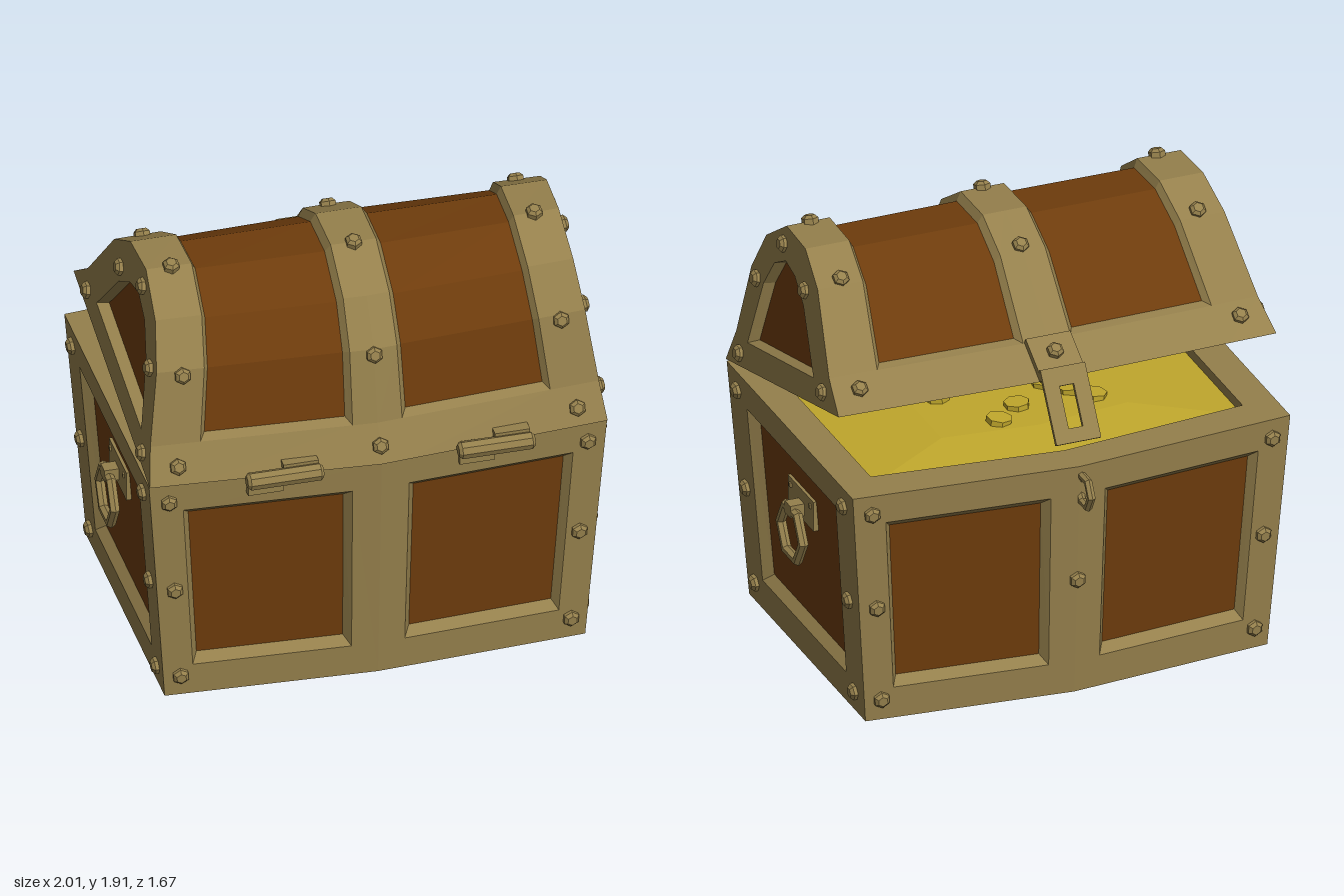
import * as THREE from 'three';

const material = (color) => new THREE.MeshStandardMaterial({ color, flatShading: true });
const V = (x, y, z) => new THREE.Vector3(x, y, z);
const lerp = THREE.MathUtils.lerp;

// Collects quads and fans; loops run counter-clockwise seen from outside
class Shell {
  constructor() { this.p = []; }
  tri(a, b, c) { for (const v of [a, b, c]) this.p.push(v.x, v.y, v.z); }
  quad(a, b, c, d) { this.tri(a, b, c); this.tri(a, c, d); }
  strip(outer, inner) {
    const n = outer.length;
    for (let i = 0; i < n; i++) {
      const j = (i + 1) % n;
      this.quad(outer[i], outer[j], inner[j], inner[i]);
    }
  }
  cap(loop) {
    const c = loop.reduce((s, v) => s.add(v), V(0, 0, 0)).divideScalar(loop.length);
    loop.forEach((v, i) => this.tri(c, v, loop[(i + 1) % loop.length]));
  }
  grid(f, us, vs, flip = false) {
    for (let i = 0; i + 1 < us.length; i++) for (let j = 0; j + 1 < vs.length; j++) {
      const q = [f(us[i], vs[j]), f(us[i + 1], vs[j]), f(us[i + 1], vs[j + 1]), f(us[i], vs[j + 1])];
      if (flip) q.reverse();
      this.quad(...q);
    }
  }
  mesh(name, mat) {
    const g = new THREE.BufferGeometry();
    g.setAttribute('position', new THREE.Float32BufferAttribute(this.p, 3));
    g.computeVertexNormals();
    const m = new THREE.Mesh(g, mat);
    m.name = name;
    return m;
  }
}

// Body surface: s across the width, f = 1 front or -1 back, t from floor to rim
const H = 1.075;
function bodyPoint(s, f, t) {
  const corner = f > 0 ? 0.67 + 0.05 * t : -0.575 - 0.055 * t;
  const middle = f > 0 ? 0.72 + 0.06 * t : -0.66 - 0.06 * t;
  return V(s * (0.9 + 0.08 * t), t * H, lerp(middle, corner, Math.abs(s)));
}

// Lid end outline as [z, y], already swung open
const profile = [[0.73, 1.08], [0.665, 1.24], [0.605, 1.56], [0.5, 1.75], [0.31, 1.88],
  [0.09, 1.88], [-0.09, 1.78], [-0.33, 1.49], [-0.48, 1.385]];
const endX = (z, y) => 0.98 - 0.14 * (y - 1.08 - (0.73 - z) * 0.256);
function lidPoint(s, i, k = 1) {
  const a = Math.min(Math.floor(i), 7), w = i - a;
  const z = lerp(0.12, lerp(profile[a][0], profile[a + 1][0], w), k);
  const y = lerp(1.236, lerp(profile[a][1], profile[a + 1][1], w), k);
  const bulge = 0.055 * (1 - Math.abs(s)) * THREE.MathUtils.clamp((z - 0.12) / 0.6, -1, 1);
  return V(s * endX(z, y), y - 0.25 * bulge, z + bulge);
}

export function createModel() {
  const chest = new THREE.Group();
  chest.name = 'chest';
  const trim = material(0x95804c), wood = material(0x6e3c0c), gold = material(0xc0a72c);
  const add = (geo, name, mat, x = 0, y = 0, z = 0, parent = chest) => {
    const m = new THREE.Mesh(geo, mat);
    m.name = name;
    m.position.set(x, y, z);
    parent.add(m);
    return m;
  };

  // Body frame with bevelled, sunken wooden panels
  const frame = new Shell(), boards = new Shell();
  const wall = (f, [u0, u1], [h0, h1], [t0, t1], inset, sink, flip) => {
    const loop = (a, b, c, d) => [f(a, c), f(b, c), f(b, d), f(a, d)];
    const loops = [loop(u0, u1, 0, 1), loop(h0, h1, t0, t1),
      loop(h0 + inset, h1 - inset, t0 + 0.036, t1 - 0.033).map((v) => v.add(sink))];
    if (flip) loops.forEach((l) => l.reverse());
    frame.strip(loops[0], loops[1]);
    frame.strip(loops[1], loops[2]);
    boards.cap(loops[2]);
  };
  for (const f of [1, -1]) {
    const face = (s, t) => bodyPoint(s, f, t);
    wall(face, [0, 1], [0.125, 0.86], [0.135, 0.875], 0.03, V(0, 0, -0.04 * f), f < 0);
    wall(face, [-1, 0], [-0.86, -0.125], [0.135, 0.875], 0.03, V(0, 0, -0.04 * f), f < 0);
    const side = (u, t) => bodyPoint(f, 1, t).lerp(bodyPoint(f, -1, t), u);
    wall(side, [0, 1], [0.14, 0.85], [0.135, 0.875], 0.03, V(-0.04 * f, 0, 0), f < 0);
  }

  // Rim, inner walls and sunken floor underside
  const ringOrder = [[-1, 1], [0, 1], [1, 1], [1, -1], [0, -1], [-1, -1]];
  const plan = (t, kx, dz, y) => ringOrder.map(([s, f]) => {
    const v = bodyPoint(s, f, t);
    return V(v.x * kx, y, v.z - f * dz);
  });
  const mouth = plan(1, 0.85, 0.16, H), goldEdge = plan(1, 0.85, 0.16, 1.03);
  frame.strip(plan(1, 1, 0, H), mouth);
  frame.strip(mouth, goldEdge);
  const under = [plan(0, 1, 0, 0), plan(0, 0.84, 0.12, 0), plan(0, 0.81, 0.145, 0.04)].map((l) => l.reverse());
  frame.strip(under[0], under[1]);
  frame.strip(under[1], under[2]);
  frame.cap(under[2]);
  chest.add(frame.mesh('bodyFrame', trim), boards.mesh('bodyPanels', wood));

  // Gold heap and loose coins
  const heap = new Shell();
  const mid = goldEdge.map((v) => V(v.x * 0.5, 1.06, v.z * 0.5));
  heap.strip(goldEdge, mid);
  heap.cap(mid);
  chest.add(heap.mesh('goldHeap', gold));
  const coins = [[-0.31, -0.13], [-0.16, 0.05], [0.02, -0.09], [0.14, -0.19], [-0.24, -0.04], [0.3, 0.1], [-0.42, 0.15]];
  coins.forEach(([x, z], i) => {
    const c = add(new THREE.CylinderGeometry(0.055, 0.055, 0.025, 7), 'coin', gold, x, 1.07, z);
    c.rotation.set(0.12 * Math.sin(i * 2), i, 0.12 * Math.cos(i * 3));
  });

  // Lid bands, rims and sunken curved panels
  const lid = new THREE.Group();
  lid.name = 'lid';
  chest.add(lid);
  const bands = new Shell(), lidBoards = new Shell();
  const rows = [1, 2, 3, 4, 5, 6, 7], allRows = [0, ...rows, 8];
  const E = 0.78, C = 0.11;
  for (const r of [[0, 1], [7, 8]]) bands.grid(lidPoint, [-1, -E, -C, 0, C, E, 1], r);
  for (const s of [[-1, -E], [-C, 0, C], [E, 1]]) bands.grid(lidPoint, s, rows);
  for (const [a, b] of [[-E, -C], [C, E]]) {
    const sunkRows = [1.08, 2, 3, 4, 5, 6, 6.92];
    const sunk = (s, i) => lidPoint(s, i, 0.945);
    const loop = (f, l, r, is) => [...is.map((i) => f(r, i)), ...[...is].reverse().map((i) => f(l, i))];
    bands.strip(loop(lidPoint, a, b, rows), loop(sunk, a + 0.025, b - 0.025, sunkRows));
    lidBoards.grid(sunk, [a + 0.025, b - 0.025], sunkRows);
  }

  // Arched lid ends
  const hole = [[0.535, 1.245], [0.52, 1.31], [0.46, 1.55], [0.38, 1.68], [0.27, 1.74],
    [0.16, 1.725], [0.03, 1.65], [-0.14, 1.455], [-0.175, 1.42]];
  for (const s of [1, -1]) {
    const cut = hole.map(([z, y]) => V(s * endX(z, y), y, z));
    const deep = cut.map((v) => V(v.x - s * 0.05, lerp(1.48, v.y, 0.96), lerp(0.22, v.z, 0.96)));
    const loops = [allRows.map((i) => lidPoint(s, i)), cut, deep];
    if (s > 0) loops.forEach((l) => l.reverse());
    bands.strip(loops[0], loops[1]);
    bands.strip(loops[1], loops[2]);
    lidBoards.cap(loops[2]);
    const inner = allRows.map((i) => lidPoint(s * 0.85, i, 0.85));
    lidBoards.cap(s > 0 ? inner : inner.reverse());
  }

  // Lid underside rim and hollow interior
  const lidRing = (ks, k) => ringOrder.map(([s, f]) => lidPoint(s * ks, f > 0 ? 0 : 8, k)).reverse();
  bands.strip(lidRing(1, 1), lidRing(0.85, 0.85));
  lidBoards.grid((s, i) => lidPoint(s, i, 0.85), [-0.85, 0, 0.85], allRows, true);
  lid.add(bands.mesh('lidBands', trim), lidBoards.mesh('lidPanels', wood));

  // Six-sided rivets
  const rivetGeo = new THREE.LatheGeometry([[0.036, -0.01], [0.036, 0.015], [0.022, 0.028], [0, 0.028]]
    .map(([x, y]) => new THREE.Vector2(x, y)), 6);
  const rivet = (p, n) => add(rivetGeo, 'rivet', trim, p.x, p.y, p.z)
    .quaternion.setFromUnitVectors(V(0, 1, 0), n.normalize());
  for (const t of [0.09, 0.5, 0.92]) for (const s of [1, -1]) {
    for (const f of [1, -1]) rivet(bodyPoint(s * 0.92, f, t), V(0.07 * s, -0.05, f));
    for (const u of [0.075, 0.92]) rivet(bodyPoint(s, 1, t).lerp(bodyPoint(s, -1, t), u), V(s, -0.08, 0));
  }
  rivet(bodyPoint(0, -1, 0.5), V(0, -0.05, -1));
  for (const s of [-0.88, 0, 0.88]) for (const i of [0.45, 1.93, 4, 5.85, 7.4]) {
    const d = lidPoint(s, i + 0.3).sub(lidPoint(s, i - 0.3));
    const n = V(0, -d.z, d.y).normalize(), p = lidPoint(s, i);
    if (s === 0 && i > 7) p.addScaledVector(n, 0.03);
    rivet(p, n);
  }
  for (const s of [1, -1])
    for (const [z, y] of [[0.595, 1.17], [0.53, 1.54], [0.31, 1.8], [0.03, 1.72], [-0.29, 1.41]])
      rivet(V(s * endX(z, y), y, z), V(s, 0.14, 0));

  // Hinge barrels with their leaves
  const barrel = new THREE.LatheGeometry([[0, -0.163], [0.026, -0.163], [0.038, -0.15], [0.038, 0.15], [0.026, 0.163], [0, 0.163]]
    .map(([x, y]) => new THREE.Vector2(x, y)), 8);
  for (const x of [-0.42, 0.485]) {
    add(barrel, 'hingeBarrel', trim, x, 1.085, 0.797).rotation.z = Math.PI / 2;
    add(new THREE.BoxGeometry(0.15, 0.07, 0.04), 'hingeLowerLeaf', trim, x - 0.075, 1.035, 0.755);
    add(new THREE.BoxGeometry(0.15, 0.05, 0.06), 'hingeUpperLeaf', trim, x + 0.075, 1.105, 0.75);
  }

  // Side ring handles
  for (const s of [1, -1]) {
    add(new THREE.BoxGeometry(0.035, 0.135, 0.275), 'handlePlate', trim, s * 0.915, 0.728, 0.042);
    add(new THREE.BoxGeometry(0.08, 0.055, 0.06), 'handleLug', trim, s * 0.955, 0.715, 0.033);
    add(new THREE.TorusGeometry(0.12, 0.022, 6, 6), 'handleRing', trim, s * 0.975, 0.605, 0.033).rotation.y = Math.PI / 2;
    for (const z of [-0.065, 0.145])
      add(new THREE.BoxGeometry(0.02, 0.018, 0.018), 'handlePin', trim, s * 0.93, 0.765, z);
  }

  // Hasp: leaf on the lid, slotted flap, and staple on the body
  add(new THREE.BoxGeometry(0.2, 0.03, 0.2), 'haspLeaf', trim, 0, 1.46, -0.455, lid).rotation.x = -0.545;
  const flap = new THREE.Shape([[-0.1, 0], [0.1, 0], [0.1, 0.32], [-0.1, 0.32]].map((p) => new THREE.Vector2(...p)));
  flap.holes.push(new THREE.Path([[-0.032, 0.08], [-0.032, 0.26], [0.032, 0.26], [0.032, 0.08]].map((p) => new THREE.Vector2(...p))));
  const flapGeo = new THREE.ExtrudeGeometry(flap, { depth: 0.018, bevelEnabled: false });
  add(flapGeo, 'haspFlap', trim, 0, 1.445, -0.52, lid).rotation.x = Math.PI + Math.atan2(0.17, 0.26);
  add(new THREE.TorusGeometry(0.068, 0.018, 6, 6), 'staple', trim, -0.01, 0.972, -0.75).rotation.y = Math.PI / 2;

  return chest;
}
